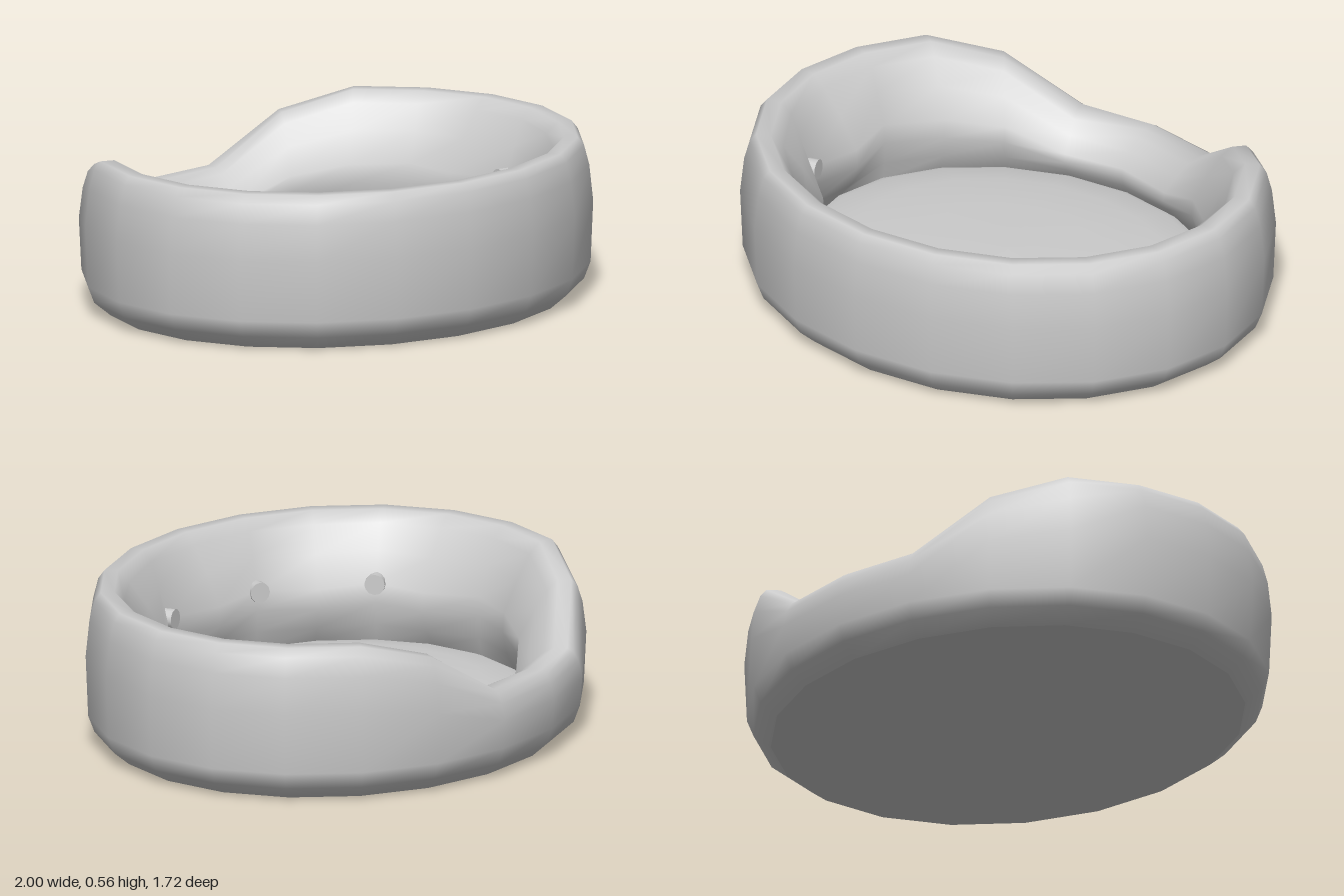
import * as THREE from 'three';

const SIDES = 20;
const DEPTH = 0.86; // oval: z radius relative to x radius
const FLOOR = 0.12;
const TOP = 0.56;
const material = new THREE.MeshStandardMaterial({ color: 0xcccccc });

// Rim height by steps away from the low entrance at the back
const rimHeight = (i) => [0.32, 0.32, 0.49][Math.min(i, SIDES - i) === 10 ? 0 : 10 - Math.min(i, SIDES - i)] ?? TOP;

// Tufting: inner wall is pulled outward at every other segment around the front
function tuft(i) {
  const k = Math.min(i, SIDES - i);
  if (k > 6) return k === 10 ? 0.035 : 0.02;
  return k % 2 === 0 ? 0.06 : -0.02;
}

const point = (i, r, y) => {
  const a = (i / SIDES) * Math.PI * 2;
  return new THREE.Vector3(Math.sin(a) * r, y, Math.cos(a) * r * DEPTH);
};

// Padded wall: cross-section [radius, height, tuft amount] swept around the oval
function wallGeometry() {
  const section = [
    [0.9, 0, 0], [0.965, 0.05, 0], [0.99, 0.11, 0], [1, 0.33, 0], [0.985, 0.46, 0],
    [0.965, 0.53, 0], [0.94, 0.56, 0], [0.885, 0.56, 0], [0.84, 0.52, 0.1],
    [0.775, 0.43, 0.6], [0.71, 0.32, 1], [0.705, 0.25, 1], [0.73, 0.17, 0.6], [0.78, 0.1, 0],
  ];
  const pos = [], index = [];
  section.forEach(([r, y, t], j) => {
    for (let i = 0; i < SIDES; i++) {
      const scale = (rimHeight(i) - FLOOR) / (TOP - FLOOR);
      const h = y > FLOOR ? FLOOR + (y - FLOOR) * scale : y;
      pos.push(...point(i, r + t * tuft(i), h).toArray());
      if (j === section.length - 1) continue;
      const n = (i + 1) % SIDES;
      const a = j * SIDES + i, b = j * SIDES + n, c = a + SIDES, d = b + SIDES;
      index.push(a, b, d, a, d, c);
    }
  });
  const g = new THREE.BufferGeometry();
  g.setAttribute('position', new THREE.Float32BufferAttribute(pos, 3));
  g.setIndex(index);
  g.computeVertexNormals();
  return g;
}

export function createModel() {
  const group = new THREE.Group();
  const add = (name, geometry) => {
    const mesh = new THREE.Mesh(geometry, material);
    mesh.name = name;
    group.add(mesh);
    return mesh;
  };

  add('paddedWall', wallGeometry());

  // Flat underside
  const base = add('base', new THREE.CircleGeometry(0.9, SIDES).rotateZ(Math.PI / 2).rotateX(Math.PI / 2));
  base.scale.z = DEPTH;

  // Gently domed cushion
  const dome = [[0.79, 0.1], [0.74, 0.12], [0.6, 0.145], [0.35, 0.16], [0, 0.165]];
  const cushion = add('cushion', new THREE.LatheGeometry(dome.map(([r, y]) => new THREE.Vector2(r, y)), SIDES));
  cushion.scale.z = DEPTH;

  // Tuft buttons around the front inner wall
  for (const i of [-4, -2, 0, 2, 4]) {
    const button = add('tuftButton', new THREE.CylinderGeometry(0.037, 0.037, 0.05, 12).rotateX(Math.PI / 2));
    button.position.copy(point(i, 0.765, 0.32));
    button.lookAt(0, 0.34, 0);
  }
  return group;
}
